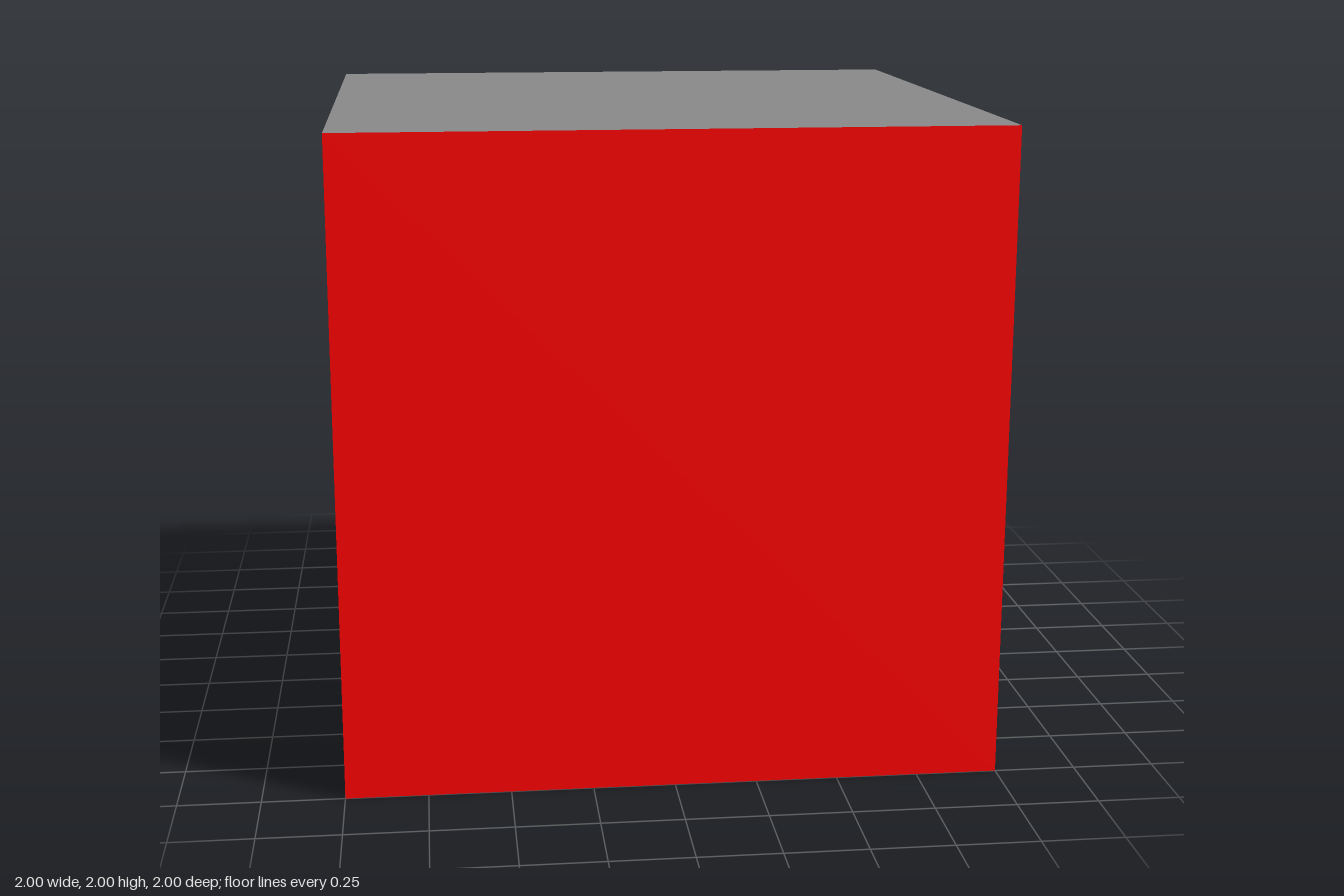
import * as THREE from 'three';

export function createModel() {
  const root = new THREE.Group();
  root.name = 'openRoom';

  const paint = (color) => new THREE.MeshStandardMaterial({ color, side: THREE.DoubleSide });
  const darkGrey = paint(0x888888);

  function add(name, geometry, material, position) {
    const mesh = new THREE.Mesh(geometry, material);
    mesh.name = name;
    mesh.position.set(...position);
    root.add(mesh);
    return mesh;
  }

  // Room shell: five thin square panels, each turned to face inwards (+x side stays open)
  const half = Math.PI / 2;
  const panels = [
    ['floor', darkGrey, [0, 0, 0], [-half, 0]],
    ['ceiling', darkGrey, [0, 2, 0], [half, 0]],
    ['sideWall', darkGrey, [-1, 1, 0], [0, half]],
    ['redWall', paint(0xff0000), [0, 1, 1], [0, Math.PI]],
    ['greenWall', paint(0x00ff00), [0, 1, -1], [0, 0]],
  ];
  for (const [name, material, position, [rx, ry]] of panels) {
    add(name, new THREE.PlaneGeometry(2, 2), material, position).rotation.set(rx, ry, 0);
  }

  // Paler light panel just below the ceiling
  add('ceilingLight', new THREE.PlaneGeometry(1, 1), paint(0xcccccc), [0, 1.99, 0]).rotation.x = half;

  // Two turned blocks standing just clear of the floor
  const blocks = [
    ['tallBlock', 0.454, 0.01, 1.255, -0.395, 0.385, 26.9],
    ['shortBlock', 0.467, 0.01, 0.505, 0.165, -0.445, 35],
  ];
  for (const [name, side, bottom, top, x, z, degrees] of blocks) {
    const block = add(name, new THREE.BoxGeometry(side, top - bottom, side), darkGrey, [x, (bottom + top) / 2, z]);
    block.rotation.y = THREE.MathUtils.degToRad(degrees);
  }

  // Tilted floating ring, turned half a segment about its own axis
  const ring = add('ring', new THREE.TorusGeometry(0.3, 0.15, 16, 20), darkGrey, [-0.545, 0.905, -0.51]);
  const axis = new THREE.Vector3(0.72, 0.55, 0.43).normalize();
  ring.quaternion.setFromUnitVectors(new THREE.Vector3(0, 0, 1), axis);
  ring.rotateZ(Math.PI / 20);

  return root;
}
